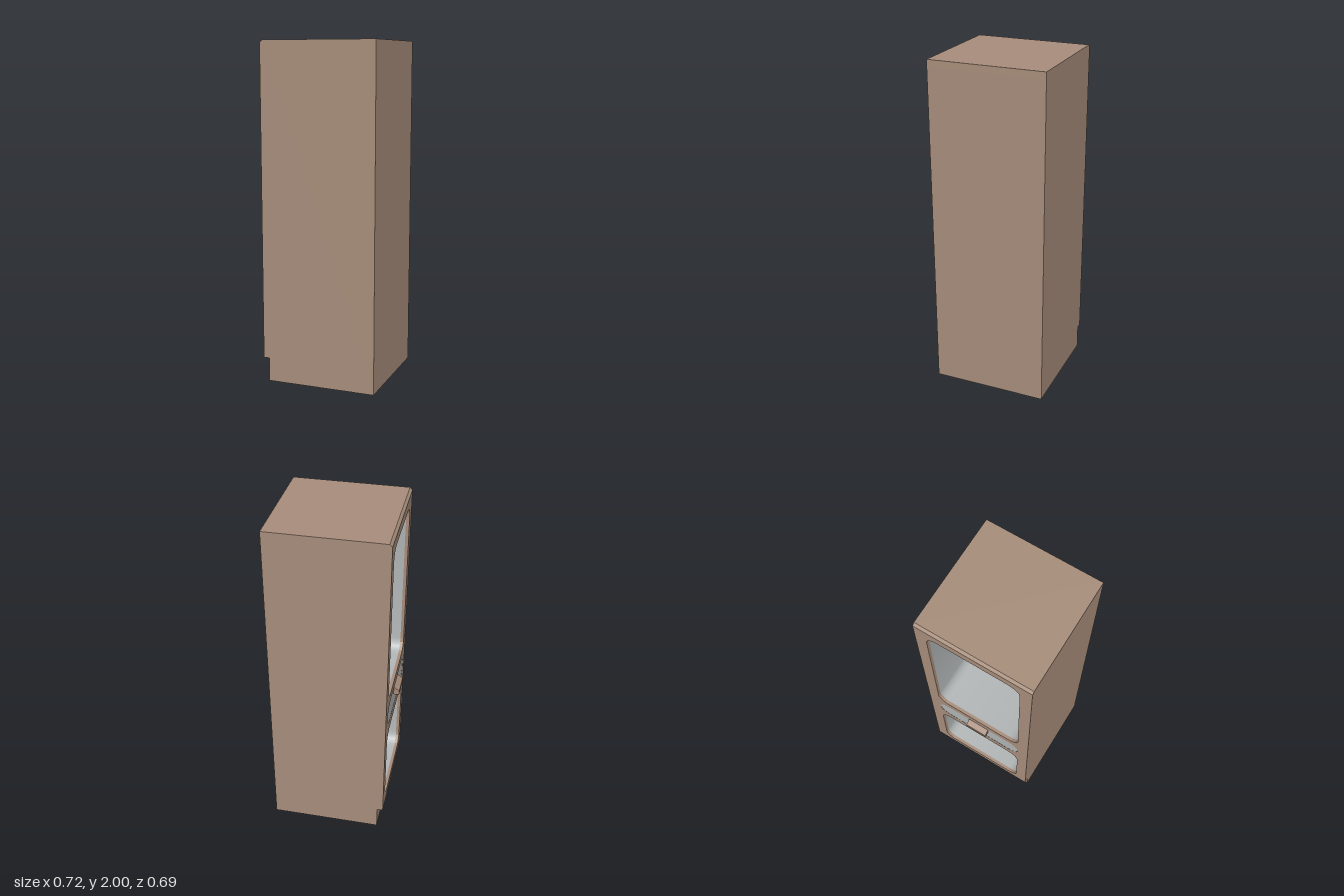
import * as THREE from 'three';

const brown = new THREE.MeshStandardMaterial({ color: 0xa68c7a, name: 'brown casing' });
const grey = new THREE.MeshStandardMaterial({ color: 0xb0b4b4, name: 'grey lining' });

const FRONT = -0.33, BACK = 0.36, HALF = 0.345, WALL = 0.02;
const OPENING = 0.275; // half width of every opening

function mesh(name, geometry, material) {
  const m = new THREE.Mesh(geometry, material);
  m.name = name;
  return m;
}

// Side profile (x, y) swept along z
function slab(name, points, z0, z1) {
  const shape = new THREE.Shape(points.map(([x, y]) => new THREE.Vector2(x, y)));
  const g = new THREE.ExtrudeGeometry(shape, { depth: z1 - z0, bevelEnabled: false });
  g.translate(0, 0, z0);
  return mesh(name, g, brown);
}

// Rounded rectangle across z and y, counter-clockwise
function roundedPoints(y0, y1, r, divisions = 4) {
  const w = OPENING - r, pts = [];
  const centres = [[w, y0 + r], [w, y1 - r], [-w, y1 - r], [-w, y0 + r]];
  centres.forEach(([cx, cy], corner) => {
    for (let i = 0; i <= divisions; i++) {
      const a = (corner - 1 + i / divisions) * Math.PI / 2;
      pts.push(new THREE.Vector2(cx + r * Math.cos(a), cy + r * Math.sin(a)));
    }
  });
  return pts;
}

// Flat rounded panel facing -x
function panel(name, pts, x) {
  const g = new THREE.ShapeGeometry(new THREE.Shape(pts));
  g.rotateY(-Math.PI / 2).translate(x, 0, 0);
  return mesh(name, g, grey);
}

// Inward-facing tunnel with smooth rounded corners
function tunnel(name, pts, x0, x1) {
  const pos = [], nor = [], idx = [], n = pts.length;
  pts.forEach((p, i) => {
    const before = p.clone().sub(pts[(i + n - 1) % n]).normalize();
    const after = pts[(i + 1) % n].clone().sub(p).normalize();
    const t = before.add(after).normalize();
    for (const x of [x0, x1]) {
      pos.push(x, p.y, p.x);
      nor.push(0, t.x, -t.y);
    }
    const a = 2 * i, b = 2 * ((i + 1) % n);
    idx.push(a, b, a + 1, b, b + 1, a + 1);
  });
  const g = new THREE.BufferGeometry();
  g.setAttribute('position', new THREE.Float32BufferAttribute(pos, 3));
  g.setAttribute('normal', new THREE.Float32BufferAttribute(nor, 3));
  g.setIndex(idx);
  return mesh(name, g, grey);
}

export function createModel() {
  const model = new THREE.Group();
  model.name = 'cabinet';

  // Casing: two sides, top with a chamfered edge, base with toe recess, back
  const side = [[-0.295, 0], [BACK, 0], [BACK, 2], [FRONT + 0.015, 2], [FRONT, 1.985], [FRONT, 0.14], [-0.295, 0.14]];
  const inner = HALF - WALL;
  model.add(slab('rightSide', side, -HALF, -inner));
  model.add(slab('leftSide', side, inner, HALF));
  model.add(slab('top', [[FRONT, 1.96], [BACK, 1.96], [BACK, 2], [FRONT + 0.015, 2], [FRONT, 1.985]], -inner, inner));
  model.add(slab('base', [[-0.295, 0], [BACK, 0], [BACK, 0.16], [FRONT + WALL, 0.16], [FRONT + WALL, 0.14], [-0.295, 0.14]], -inner, inner));
  model.add(slab('back', [[BACK - WALL, 0.16], [BACK, 0.16], [BACK, 1.96], [BACK - WALL, 1.96]], -inner, inner));

  // Front frame with three rounded openings
  const upper = roundedPoints(0.953, 1.925, 0.07);
  const slot = roundedPoints(0.752, 0.897, 0.065);
  const lower = roundedPoints(0.193, 0.689, 0.07);
  const frame = new THREE.Shape([[-inner, 0.14], [inner, 0.14], [inner, 1.96], [-inner, 1.96]].map(([x, y]) => new THREE.Vector2(x, y)));
  for (const pts of [upper, slot, lower]) frame.holes.push(new THREE.Path(pts));
  const frameGeometry = new THREE.ExtrudeGeometry(frame, { depth: WALL, bevelEnabled: false });
  frameGeometry.rotateY(Math.PI / 2).translate(FRONT, 0, 0);
  model.add(mesh('frontFrame', frameGeometry, brown));

  // Compartments
  for (const [name, pts] of [['upperCompartment', upper], ['lowerCompartment', lower]]) {
    const group = new THREE.Group();
    group.name = name;
    group.add(tunnel(name + 'Walls', pts, FRONT + WALL, 0.32), panel(name + 'Back', pts, 0.32));
    model.add(group);
  }

  // Control plate and its handle
  model.add(panel('controlPlate', slot, FRONT + 0.001));
  model.add(slab('handle', [[-0.328, 0.845], [-0.328, 0.9], [-0.362, 0.872], [-0.362, 0.845]], -0.067, 0.067));

  return model;
}
